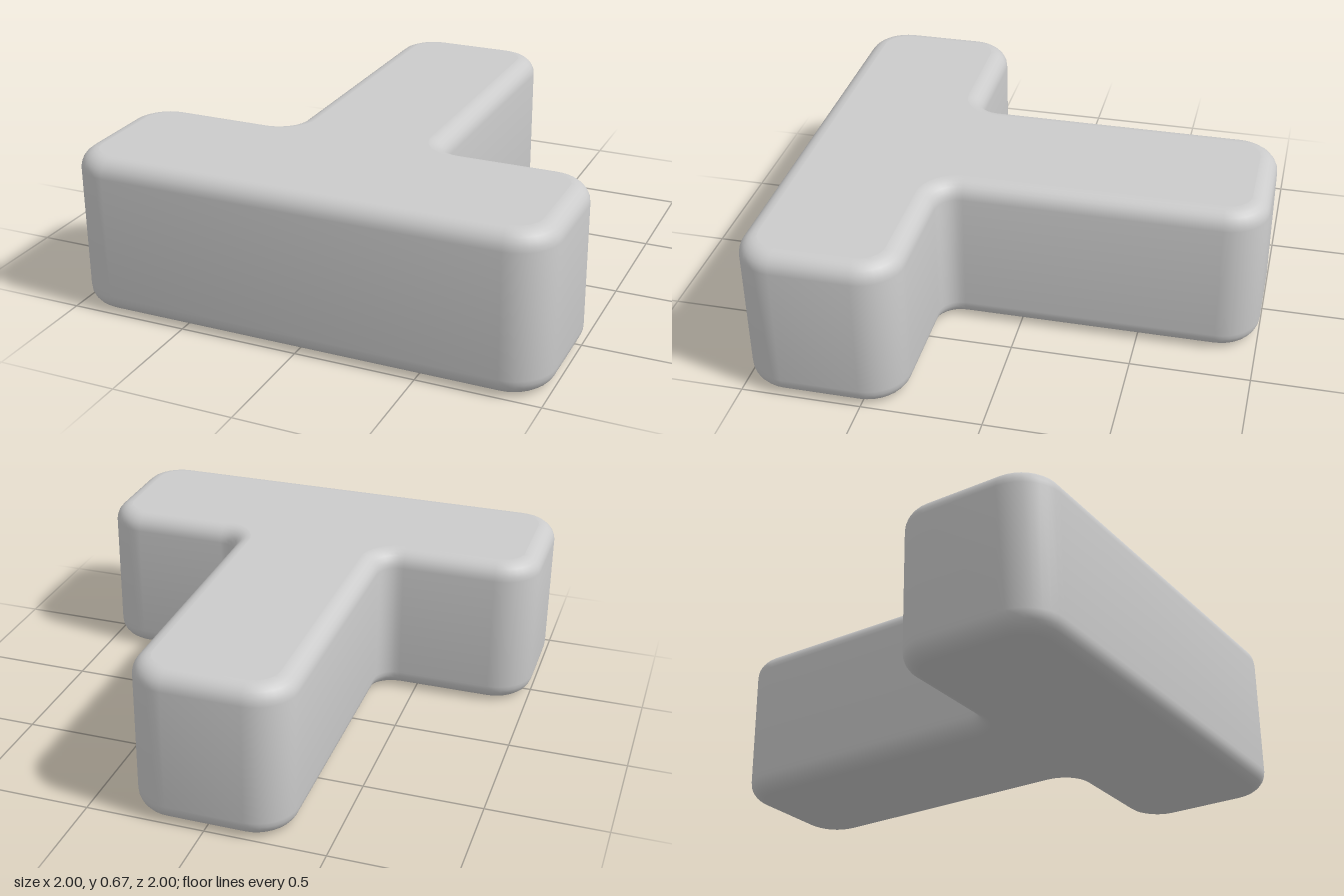
import * as THREE from 'three';
import { toCreasedNormals } from 'three/addons/utils/BufferGeometryUtils.js';

const BEVEL = 0.075; // rounding of the top and bottom edges
const HEIGHT = 0.667;
const THIRD = 1 / 3;

// Closed outline through [x, y, radius] corners, each rounded by a near-circular arc
function roundedOutline(corners) {
  const shape = new THREE.Shape();
  const pts = corners.map(([x, y]) => new THREE.Vector2(x, y));
  const n = pts.length;
  const toward = (a, b, d) => b.clone().sub(a).setLength(d).add(a);
  pts.forEach((p, i) => {
    const r = corners[i][2];
    const prev = pts[(i + n - 1) % n], next = pts[(i + 1) % n];
    const start = toward(p, prev, r), end = toward(p, next, r);
    const c1 = toward(p, prev, r * 0.448), c2 = toward(p, next, r * 0.448);
    if (i === 0) shape.moveTo(start.x, start.y);
    else shape.lineTo(start.x, start.y);
    shape.bezierCurveTo(c1.x, c1.y, c2.x, c2.y, end.x, end.y);
  });
  shape.closePath();
  return shape;
}

export function createModel() {
  const group = new THREE.Group();
  group.name = 'teeBlock';

  // Outline of the flat top, inset by the bevel: crossbar at the front, stem to the back
  const outer = 1 - BEVEL, stem = THIRD - BEVEL, inner = -THIRD - BEVEL;
  const convex = 0.175 - BEVEL, concave = 0.09 + BEVEL;
  const half = [
    [outer, -outer, convex],
    [outer, inner, convex],
    [stem, inner, concave],
    [stem, outer, convex],
  ];
  const mirrored = half.map(([x, y, r]) => [-x, y, r]).reverse();

  const extruded = new THREE.ExtrudeGeometry(roundedOutline([...half, ...mirrored]), {
    depth: HEIGHT - 2 * BEVEL,
    bevelEnabled: true,
    bevelSize: BEVEL,
    bevelThickness: BEVEL,
    bevelSegments: 6,
    curveSegments: 8,
  });
  const geometry = toCreasedNormals(extruded, 0.7);

  // Keep the flat top and bottom evenly shaded
  const { position, normal } = geometry.attributes;
  const caps = extruded.groups[0];
  for (let i = caps.start; i < caps.start + caps.count; i++) {
    normal.setXYZ(i, 0, 0, position.getZ(i) > 0 ? 1 : -1);
  }
  geometry.clearGroups();
  geometry.rotateX(-Math.PI / 2);
  geometry.translate(0, BEVEL, 0);

  const body = new THREE.Mesh(geometry, new THREE.MeshStandardMaterial({ color: 0xcccccc }));
  body.name = 'teeBody';
  group.add(body);
  return group;
}
